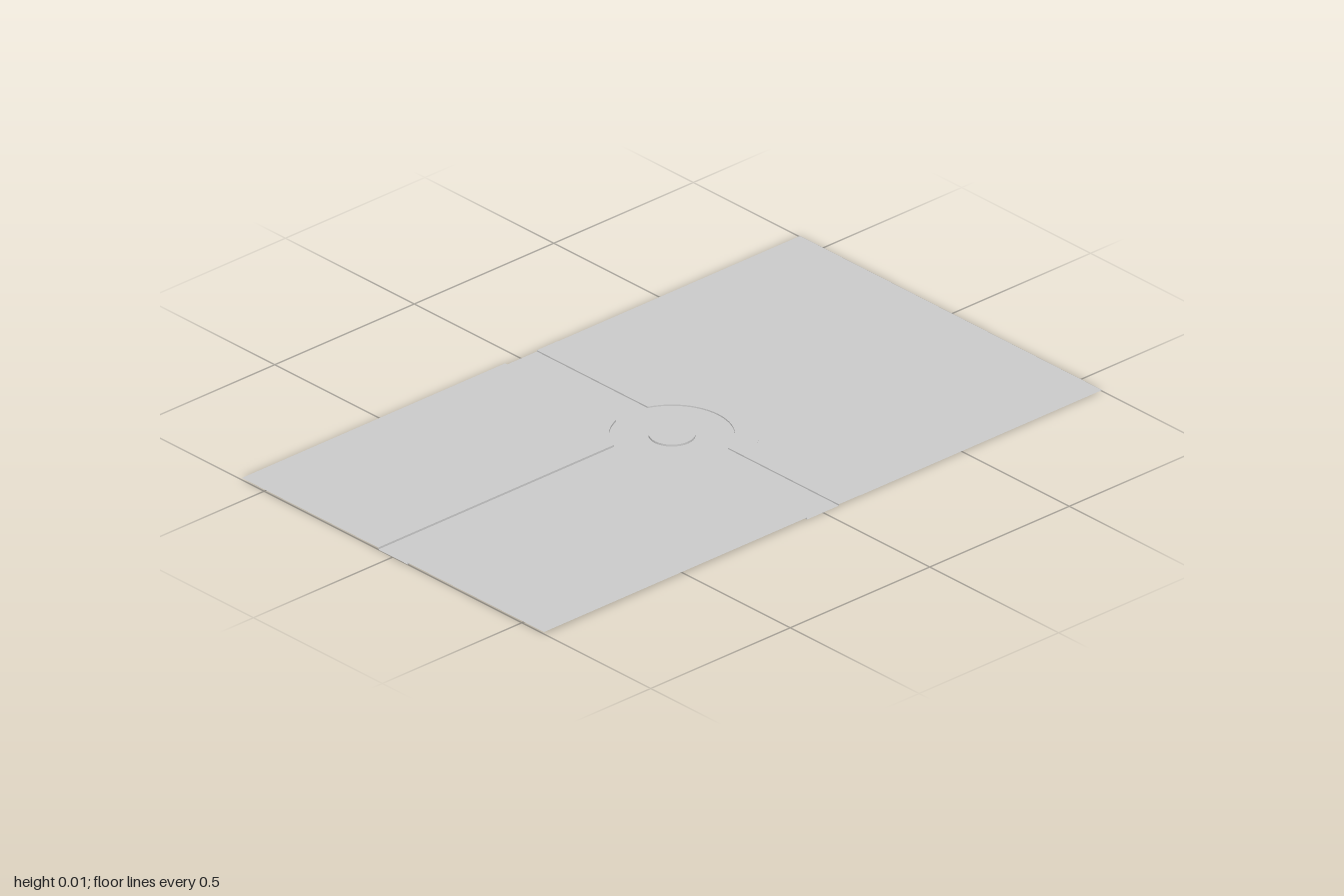
import * as THREE from 'three';

const W = 0.586, L = 1;               // half width and half length of the tile
const H = 0.057, R = 0.166;           // half road width, roundabout radius
const ISLAND = 0.062;
const TOP = 0.006, BACK = 0.004, VERGE = 0.003;
const mat = new THREE.MeshStandardMaterial({ color: 0xcccccc, side: THREE.DoubleSide });

// Plan points use (x, v) with v = -z
const P = (x, v) => new THREE.Vector2(x, v);

function arc(r, a0, a1, n) {
  return Array.from({ length: n + 1 }, (_, i) => {
    const a = a0 + (a1 - a0) * i / n;
    return P(r * Math.cos(a), r * Math.sin(a));
  });
}

// Flat surface facing up at height y
function sheet(name, points, y, hole) {
  const shape = new THREE.Shape(points);
  if (hole) shape.holes.push(new THREE.Path(hole));
  const geo = new THREE.ShapeGeometry(shape).rotateX(-Math.PI / 2).translate(0, y, 0);
  const mesh = new THREE.Mesh(geo, mat);
  mesh.name = name;
  return mesh;
}

// Upright strip between two heights along a plan path
function curb(name, points, y0, y1) {
  const pos = [];
  for (let i = 0; i < points.length - 1; i++) {
    const a = points[i], b = points[i + 1];
    pos.push(a.x, y0, -a.y, b.x, y0, -b.y, b.x, y1, -b.y);
    pos.push(a.x, y0, -a.y, b.x, y1, -b.y, a.x, y1, -a.y);
  }
  const geo = new THREE.BufferGeometry();
  geo.setAttribute('position', new THREE.Float32BufferAttribute(pos, 3));
  geo.computeVertexNormals();
  const mesh = new THREE.Mesh(geo, mat);
  mesh.name = name;
  return mesh;
}

// Line along the back of the cross road, bowing around the roundabout
function backLine(h, r) {
  const a = Math.asin(h / r);
  return [P(-W, h), ...arc(r, Math.PI - a, a, 24), P(W, h)];
}

// Edge of a front lot: up the side road, round the circle, out to the side
function frontLine(side) {
  const a = Math.asin(H / R);
  const pts = [P(H, -L), ...arc(R, -Math.PI / 2 + a, -a, 12), P(W, -H)];
  return pts.map((p) => P(p.x * side, p.y));
}

export function createModel() {
  const group = new THREE.Group();
  group.name = 'roadJunctionTile';

  const back = backLine(H, R), paveEdge = backLine(0.133, 0.23);
  const left = frontLine(1), right = frontLine(-1);
  const ring = arc(ISLAND, 0, Math.PI * 2, 32).slice(0, -1);

  // Sunken T-shaped road with a roundabout
  group.add(sheet('road', [...back, ...[...left].reverse(), ...right], 0, ring));

  // Raised central island
  group.add(sheet('island', ring, TOP));
  group.add(curb('islandCurb', [...ring, ring[0]], 0, TOP));

  // Two front lots
  for (const [side, line, name] of [[1, left, 'left'], [-1, right, 'right']]) {
    group.add(sheet(name + 'FrontLot', [...line, P(W * side, -L)], TOP));
    group.add(curb(name + 'FrontCurb', line, 0, TOP));
  }

  // Pavement and lower ground behind the road
  group.add(sheet('backPavement', [...back, ...[...paveEdge].reverse()], BACK));
  group.add(curb('backCurb', back, 0, BACK));
  group.add(sheet('backLot', [...paveEdge, P(W, L), P(-W, L)], VERGE));
  group.add(curb('backPavementEdge', paveEdge, VERGE, BACK));

  return group;
}
